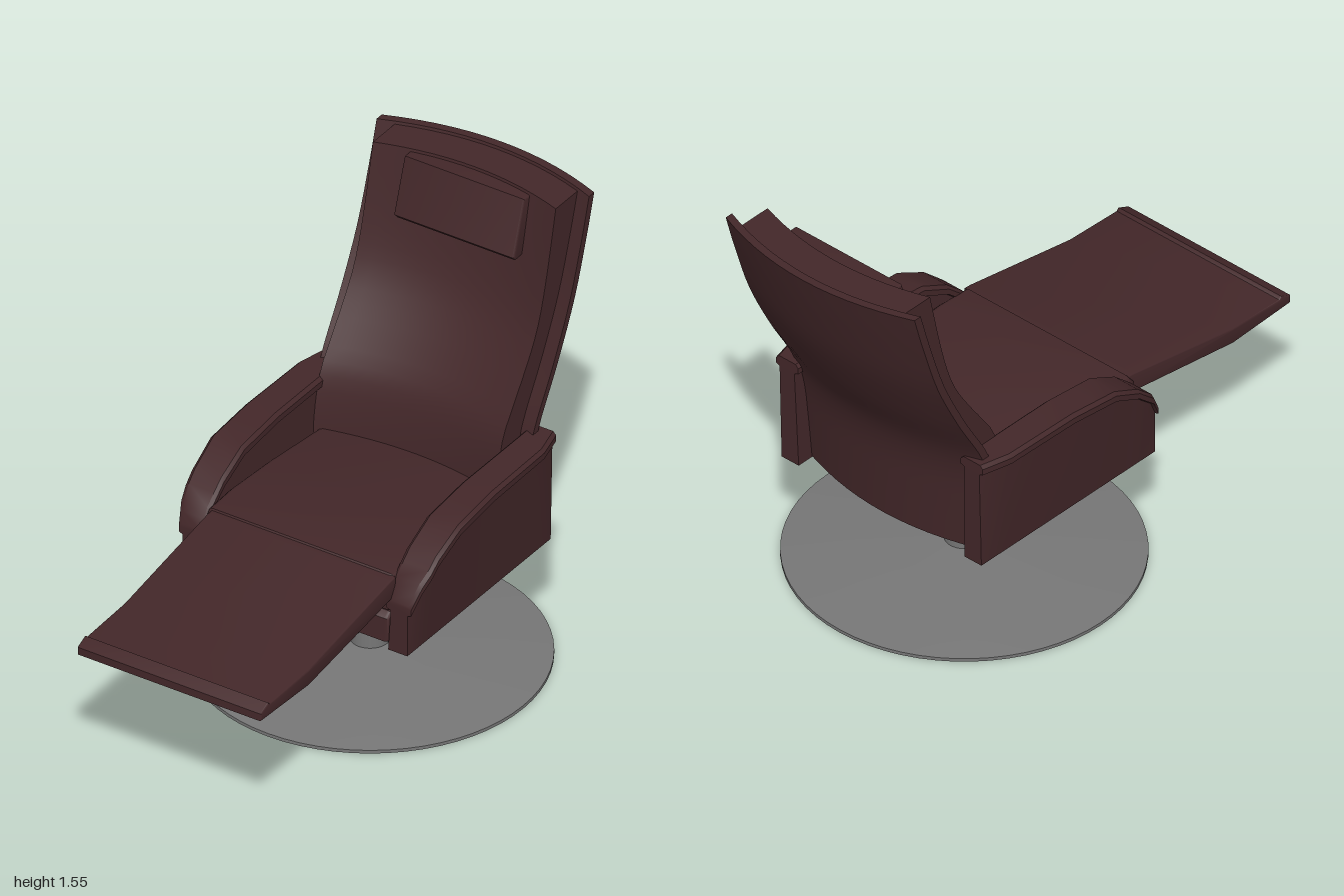
import * as THREE from 'three';
import { toCreasedNormals } from 'three/addons/utils/BufferGeometryUtils.js';

const leather = new THREE.MeshStandardMaterial({ color: 0x432729 });
leather.name = 'brown leather';
const metal = new THREE.MeshStandardMaterial({ color: 0x767676 });
metal.name = 'grey metal';

// Joins equal rings of points. Each ring is one edge list followed by its reversed partner.
function loft(rings) {
  const n = rings[0].length, last = rings.length - 1, tris = [];
  const quad = (a, b, c, d) => tris.push([a, b, c], [a, c, d]);
  for (let s = 0; s < last; s++) {
    for (let i = 0; i < n; i++) {
      const j = (i + 1) % n;
      quad(rings[s][i], rings[s][j], rings[s + 1][j], rings[s + 1][i]);
    }
  }
  const A = rings[0], B = rings[last];
  for (let i = 0; i < n / 2 - 1; i++) {
    quad(A[i + 1], A[i], A[n - 1 - i], A[n - 2 - i]);
    quad(B[i], B[i + 1], B[n - 2 - i], B[n - 1 - i]);
  }
  // Turn all faces outward
  let volume = 0;
  for (const [a, b, c] of tris) volume += a.dot(b.clone().cross(c));
  const pos = [];
  for (const [a, b, c] of tris) {
    for (const p of volume > 0 ? [a, b, c] : [a, c, b]) pos.push(p.x, p.y, p.z);
  }
  const g = new THREE.BufferGeometry();
  g.setAttribute('position', new THREE.Float32BufferAttribute(pos, 3));
  return toCreasedNormals(g, 0.6);
}

// Extrudes a [z, y] side profile across x, with rounded edges inside the given size
function sideExtrude(profile, x0, x1, bevel) {
  const shape = new THREE.Shape(profile.map(([z, y]) => new THREE.Vector2(z, y)));
  const g = new THREE.ExtrudeGeometry(shape, {
    depth: x1 - x0 - 2 * bevel, bevelEnabled: bevel > 0, bevelThickness: bevel,
    bevelSize: bevel, bevelOffset: -bevel, bevelSegments: 3,
  });
  g.rotateY(-Math.PI / 2);
  g.translate(x1 - bevel, 0, 0);
  return toCreasedNormals(g, 0.6);
}

// Linear interpolation in a list of [key, value], keys falling
function lookup(table, k) {
  for (let i = 1; i < table.length; i++) {
    const [k0, v0] = table[i - 1], [k1, v1] = table[i];
    if (k >= k1) return v0 + (v1 - v0) * (k0 - k) / (k0 - k1);
  }
  return table[table.length - 1][1];
}

const BACK_X = -0.014;
const sample = (pts) => new THREE.SplineCurve(pts.map(([z, y]) => new THREE.Vector2(z, y))).getSpacedPoints(24);

// Curved slab of the backrest, arched in plan so its sides come forward
function backSlab(front, back, halfWidth) {
  const ring = [...front, ...back.slice().reverse()];
  const rings = [];
  for (let i = 0; i <= 14; i++) {
    const dx = (i / 7 - 1) * halfWidth;
    rings.push(ring.map((p) => new THREE.Vector3(BACK_X + dx, p.y, p.x + 0.48 * dx * dx)));
  }
  return loft(rings);
}

// Armrest: leaning side panel under a wider rounded top rim
function armGeometry(side) {
  const top = [[0.24, 0.58], [0.2, 0.65], [0.12, 0.72], [0, 0.78], [-0.2, 0.8], [-0.61, 0.8]];
  const outer = [[0.24, 0.455], [0.18, 0.48], [0, 0.49], [-0.5, 0.482], [-0.61, 0.455]];
  const stations = [0.24, 0.22, 0.2, 0.16, 0.12, 0.06, 0, -0.1, -0.2, -0.35, -0.5, -0.61];
  const rings = stations.map((z) => {
    const t = lookup(top, z), o = lookup(outer, z);
    const inside = [[0.365, 0.385], [0.375, t - 0.04], [0.358, t - 0.034], [0.358, t - 0.012], [0.37, t]];
    const outside = [[0.44, 0.385], [o - 0.015, t - 0.04], [o, t - 0.034], [o, t - 0.012], [o - 0.012, t]];
    return [...inside, ...outside.reverse()].map(([x, y]) =>
      new THREE.Vector3(side * x, y, z + (z < -0.6 && y < 0.5 ? 0.01 : 0)));
  });
  return loft(rings);
}

export function createModel() {
  const model = new THREE.Group();
  model.name = 'reclinerChair';
  const add = (name, geometry, material = leather) => {
    const mesh = new THREE.Mesh(geometry, material);
    mesh.name = name;
    model.add(mesh);
    return mesh;
  };

  // Swivel base: shallow cone disc and column
  const disc = [[0, 0], [0.6, 0], [0.6, 0.012], [0.066, 0.06], [0, 0.06]];
  const discGeo = new THREE.LatheGeometry(disc.map(([r, y]) => new THREE.Vector2(r, y)), 64);
  add('baseDisc', toCreasedNormals(discGeo, 0.6), metal).position.z = -0.2;
  add('column', new THREE.CylinderGeometry(0.067, 0.067, 0.29, 32), metal).position.set(0, 0.195, -0.2);

  // Mechanism box and footrest lever
  add('underframe', sideExtrude(
    [[0.24, 0.35], [0.24, 0.42], [-0.39, 0.42], [-0.39, 0.32], [0, 0.32]], -0.2, 0.2, 0.012));
  add('footrestLever', sideExtrude(
    [[0.2, 0.36], [0.655, 0.45], [0.655, 0.473], [0.2, 0.383]], -0.043, 0.043, 0), metal);

  // Seat
  add('seatBase', sideExtrude(
    [[0.24, 0.41], [0.24, 0.5], [0.22, 0.52], [-0.5, 0.52], [-0.5, 0.39], [0.2, 0.39]], -0.367, 0.367, 0.018));
  add('seatCushion', sideExtrude(
    [[0.23, 0.53], [0.235, 0.63], [0.21, 0.66], [0.08, 0.667], [-0.15, 0.652], [-0.52, 0.61], [-0.52, 0.51], [0.2, 0.51]],
    -0.362, 0.372, 0.022));

  // Raised footrest with a kinked tip and end lip
  add('footrest', sideExtrude(
    [[0.21, 0.655], [0.24, 0.653], [0.72, 0.57], [0.945, 0.561], [0.955, 0.57], [1, 0.55], [1, 0.522],
      [0.72, 0.51], [0.24, 0.58], [0.21, 0.585]], -0.345, 0.375, 0.005));

  // Armrests
  add('leftArm', armGeometry(1));
  add('rightArm', armGeometry(-1));

  // Backrest shell, pad and head cushion
  const shellBack = [[-0.605, 0.39], [-0.622, 0.58], [-0.637, 0.7], [-0.675, 0.82], [-0.78, 1.0],
    [-0.88, 1.2], [-0.95, 1.4], [-0.995, 1.55]];
  const shellFront = shellBack.map(([z, y]) => [z + 0.03, y]);
  add('backShell', backSlab(sample(shellFront), sample(shellBack), 0.416));

  const padFront = [[-0.48, 0.4], [-0.485, 0.62], [-0.52, 0.8], [-0.58, 0.9], [-0.65, 1.0],
    [-0.712, 1.1], [-0.752, 1.2], [-0.79, 1.34], [-0.835, 1.54]];
  const padBack = [[-0.57, 0.4], [-0.6, 0.66], [-0.655, 0.82], [-0.76, 1.0], [-0.86, 1.2], [-0.93, 1.4], [-0.967, 1.54]];
  add('backPad', backSlab(sample(padFront), sample(padBack), 0.358));

  add('headCushion', sideExtrude(
    [[-0.775, 1.53], [-0.87, 1.53], [-0.83, 1.325], [-0.725, 1.32], [-0.712, 1.335]], -0.25, 0.22, 0.006));

  return model;
}
